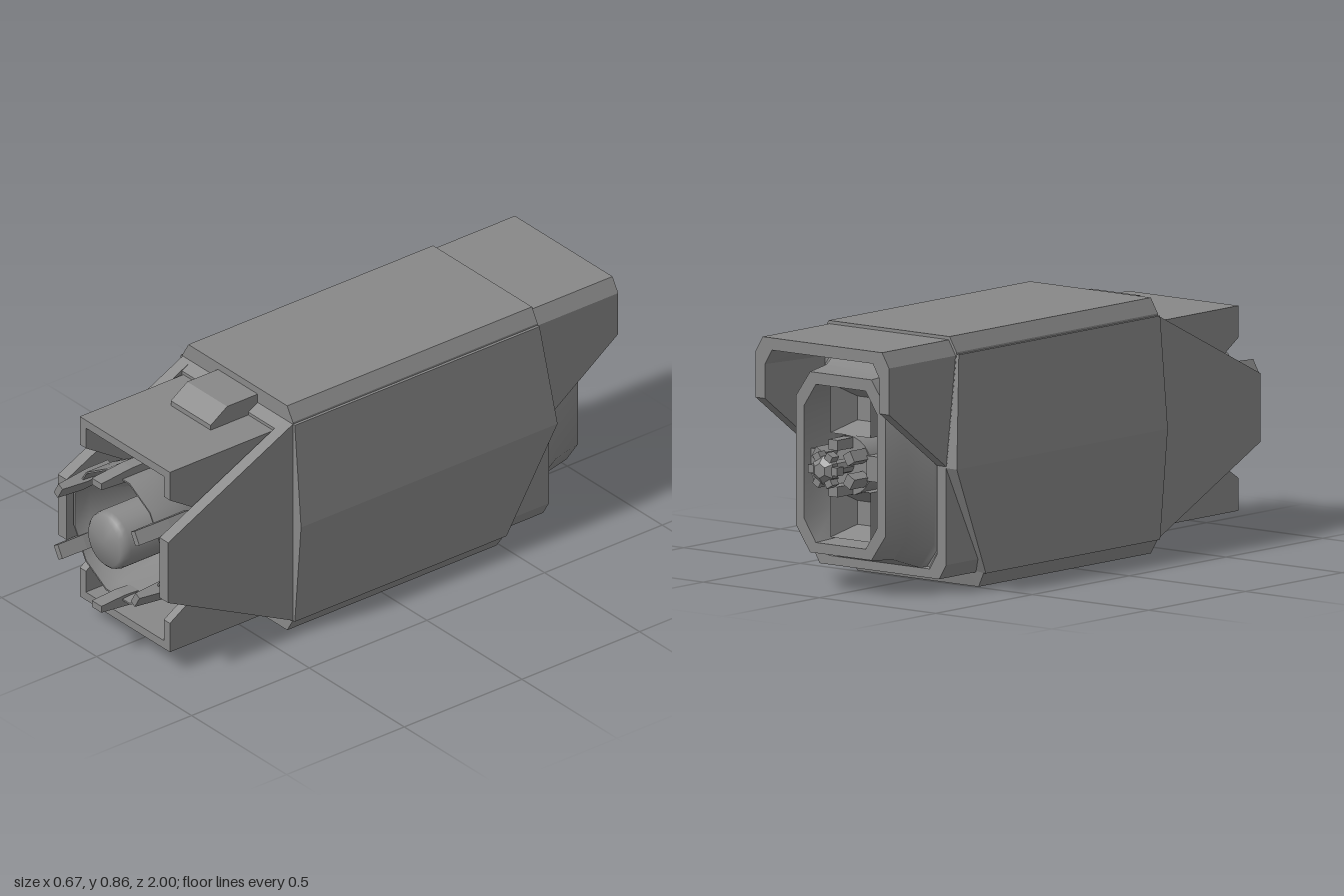
import * as THREE from 'three';
import { toCreasedNormals } from 'three/addons/utils/BufferGeometryUtils.js';

const CY = 0.425; // height of the long axis
const flat = new THREE.MeshStandardMaterial({ color: 0x888888, flatShading: true, side: THREE.DoubleSide });
const smooth = new THREE.MeshStandardMaterial({ color: 0x888888, side: THREE.DoubleSide });

// Piecewise linear function through [input, output] pairs
const steps = (...p) => (v) => {
  if (v <= p[0][0]) return p[0][1];
  for (let i = 1; i < p.length; i++) {
    const [a, fa] = p[i - 1], [b, fb] = p[i];
    if (v <= b) return fa + (fb - fa) * (v - a) / (b - a);
  }
  return p[p.length - 1][1];
};

// Chamfered rectangular section; z may depend on height, ys adds points on the sides
function section(w, y0, y1, cx, cy, z, ys = []) {
  const right = [y0 + cy, ...ys, y1 - cy].map((y) => [w, y]);
  if (cx) { right.unshift([w - cx, y0]); right.push([w - cx, y1]); }
  const left = right.map(([x, y]) => [-x, y]).reverse();
  return [...right, ...left].map(([x, y]) => [x, y, typeof z === 'function' ? z(y) : z]);
}

// Skin a series of sections running front to back, optionally capping both ends
function loft(rings, caps = false) {
  const pos = [];
  const tri = (a, b, c) => pos.push(...a, ...b, ...c);
  for (let k = 0; k < rings.length - 1; k++) {
    const a = rings[k], b = rings[k + 1], n = a.length;
    for (let i = 0; i < n; i++) {
      const j = (i + 1) % n;
      tri(a[i], b[i], b[j]);
      tri(a[i], b[j], a[j]);
    }
  }
  if (caps) {
    const a = rings[0], b = rings[rings.length - 1];
    for (let i = 1; i < a.length - 1; i++) {
      tri(a[0], a[i], a[i + 1]);
      tri(b[0], b[i + 1], b[i]);
    }
  }
  const g = new THREE.BufferGeometry();
  g.setAttribute('position', new THREE.Float32BufferAttribute(pos, 3));
  g.computeVertexNormals();
  return g;
}

// Side profile of [z, y] points given a width in x, centred on x
function prism(points, width, x = 0) {
  const shape = new THREE.Shape(points.map(([z, y]) => new THREE.Vector2(z, y)));
  const g = new THREE.ExtrudeGeometry(shape, { depth: width, bevelEnabled: false });
  return g.rotateY(-Math.PI / 2).translate(x + width / 2, 0, 0);
}

// Lathe around the long axis from [radius, z] points running back to front on the outside
function turned(points, sides, start = 0) {
  const g = new THREE.LatheGeometry(points.map(([r, z]) => new THREE.Vector2(r, z)), sides, start);
  return g.rotateX(Math.PI / 2).translate(0, CY, 0);
}

export function createModel() {
  const model = new THREE.Group();
  const add = (name, geometry, material = flat, parent = model) => {
    const m = new THREE.Mesh(geometry, material);
    m.name = name;
    parent.add(m);
    return m;
  };

  // Main hull sleeve with a slanted rear edge
  const hullRear = steps([0, -0.49], [0.05, -0.5], [CY, -0.69], [0.8, -0.64]);
  add('hull', loft([
    section(0.225, 0.09, 0.76, 0.01, 0.01, 0.4, [CY]),
    section(0.29, 0, 0.857, 0.03, 0.05, 0.4, [CY]),
    section(0.29, 0, 0.857, 0.03, 0.05, hullRear, [CY]),
    section(0.26, 0.06, 0.8, 0.03, 0.05, hullRear, [CY]),
  ]));

  // Bowed side panels and the tapered front wings
  for (const s of [1, -1]) {
    const outline = [[0.27, CY], [0.27, 0.05], [0.3, 0.05], [0.333, CY], [0.3, 0.8], [0.27, 0.8]];
    const ring = (z) => {
      const r = outline.map(([x, y]) => [s * x, y, z(y)]);
      return s > 0 ? r : [r[0], ...r.slice(1).reverse()];
    };
    add('sidePanel', loft([ring(() => 0.4), ring(hullRear)], true));
    add('frontWing', prism([[0.3, 0.05], [0.4, 0.05], [0.93, 0.31], [0.93, 0.54], [0.4, 0.8], [0.3, 0.8]], 0.045, s * 0.2675));
  }

  // Rear hood overhanging the tail
  const hoodRear = steps([0.43, -0.69], [0.64, -0.985]);
  const hy = [0.43, 0.64];
  add('rearHood', loft([
    section(0.287, 0.05, 0.846, 0.03, 0.05, -0.3, hy),
    section(0.287, 0.05, 0.846, 0.03, 0.05, hoodRear, hy),
    section(0.247, 0.08, 0.805, 0.03, 0.05, hoodRear, hy),
    section(0.242, 0.085, 0.8, 0.035, 0.055, -0.68, hy),
    section(0.18, 0.14, 0.71, 0.05, 0.08, -0.68, hy),
  ]));

  // Tail pod, flaring out of the hood floor
  const podChamfer = [0.06, 0.085];
  add('tailPod', toCreasedNormals(loft([
    section(0.24, 0.075, 0.79, 0.05, 0.07, -0.68),
    section(0.235, 0.08, 0.78, ...podChamfer, -0.69),
    section(0.205, 0.115, 0.74, ...podChamfer, -0.79),
    section(0.192, 0.125, 0.73, ...podChamfer, -0.89),
    section(0.157, 0.16, 0.69, 0.05, 0.075, -0.89),
    section(0.135, 0.17, 0.68, 0.045, 0.095, -0.76),
  ]), 0.9), smooth);

  // Through tunnel and the octagonal frame behind the muzzle
  add('tunnel', loft([
    section(0.135, 0.17, 0.68, 0.045, 0.095, -0.76),
    section(0.135, 0.17, 0.68, 0.045, 0.095, 0.3),
    section(0.185, 0.135, 0.712, 0.065, 0.09, 0.32),
    section(0.2, 0.115, 0.735, 0.075, 0.12, 0.6),
    section(0.215, 0.1, 0.75, 0.005, 0.005, 0.62),
  ]));

  // Front box with notched sides
  const boxFront = steps([0.19, 0.88], [0.31, 0.69], [0.54, 0.69], [0.66, 0.88]);
  const by = [0.19, 0.31, 0.54, 0.66];
  add('frontBox', loft([
    section(0.237, 0.08, 0.767, 0, 0, 0.3, by),
    section(0.237, 0.08, 0.767, 0, 0, boxFront, by),
    section(0.205, 0.11, 0.737, 0, 0, boxFront, by),
    section(0.205, 0.11, 0.737, 0, 0, 0.3, by),
  ].map((r) => r.reverse())));
  add('boxCollar', loft([
    section(0.23, 0.085, 0.76, 0, 0, 0.44),
    section(0.243, 0.07, 0.778, 0, 0, 0.44),
    section(0.288, 0.051, 0.8, 0, 0, 0.4),
  ]));
  add('topLatch', prism([[0.35, 0.75], [0.6, 0.75], [0.6, 0.785], [0.53, 0.832], [0.35, 0.832]], 0.21));

  // Faceted muzzle ring and its funnel
  const ring = turned([[0.165, 0.6], [0.2, 0.64], [0.235, 0.76], [0.24, 0.8], [0.24, 0.91], [0.234, 0.91],
    [0.23, 0.85], [0.165, 0.68], [0.165, 0.6]], 12, Math.PI / 12);
  add('muzzleRing', toCreasedNormals(ring, 0.6), smooth);

  // Six clips gripping the ring
  const clips = new THREE.Group();
  clips.name = 'ringClips';
  clips.position.y = CY;
  model.add(clips);
  const clip = prism([[0.78, 0.222], [0.9, 0.215], [1, 0.222], [1, 0.246], [0.87, 0.26], [0.78, 0.26]], 0.05);
  for (let i = 0; i < 6; i++) add('clip', clip, flat, clips).rotation.z = i * Math.PI / 3;

  // Central rod with a softly rounded nose
  const rod = turned([[0, -0.85], [0.1, -0.85], [0.102, 0.935], [0.097, 0.955], [0.085, 0.967], [0, 0.97]], 24);
  add('coreRod', toCreasedNormals(rod, 0.9), smooth);

  // Struts holding the rod inside the tail, pocketed at both ends
  for (const s of [1, -1]) {
    const y = CY + s * 0.175;
    add('verticalStrut', loft([
      section(0.045, y - 0.04, y + 0.04, 0, 0, -0.69),
      section(0.086, y - 0.076, y + 0.09, 0, 0, -0.62),
      section(0.086, y - 0.076, y + 0.09, 0, 0, -0.84),
      section(0.045, y - 0.04, y + 0.04, 0, 0, -0.75),
    ], true));
    add('sideStrut', new THREE.BoxGeometry(0.08, 0.085, 0.2).translate(s * 0.125, CY, -0.76));
  }

  // Tail rotor: toothed collar, axle and knob
  const rotor = new THREE.Group();
  rotor.name = 'tailRotor';
  rotor.position.y = CY;
  model.add(rotor);
  const tooth = new THREE.BoxGeometry(0.04, 0.035, 0.1).translate(0, 0.078, -0.88);
  const petal = new THREE.BoxGeometry(0.028, 0.03, 0.035).translate(0, 0.047, -0.967);
  for (let i = 0; i < 6; i++) {
    add('tooth', tooth, flat, rotor).rotation.z = i * Math.PI / 3;
    add('petal', petal, flat, rotor).rotation.z = (i + 0.5) * Math.PI / 3;
  }
  add('rotorAxle', new THREE.CylinderGeometry(0.025, 0.025, 0.14, 8).rotateX(Math.PI / 2).translate(0, 0, -0.9), flat, rotor);
  add('rotorKnob', turned([[0, -1], [0.025, -1], [0.048, -0.982], [0.048, -0.955], [0.025, -0.94], [0, -0.94]], 6));
  return model;
}
